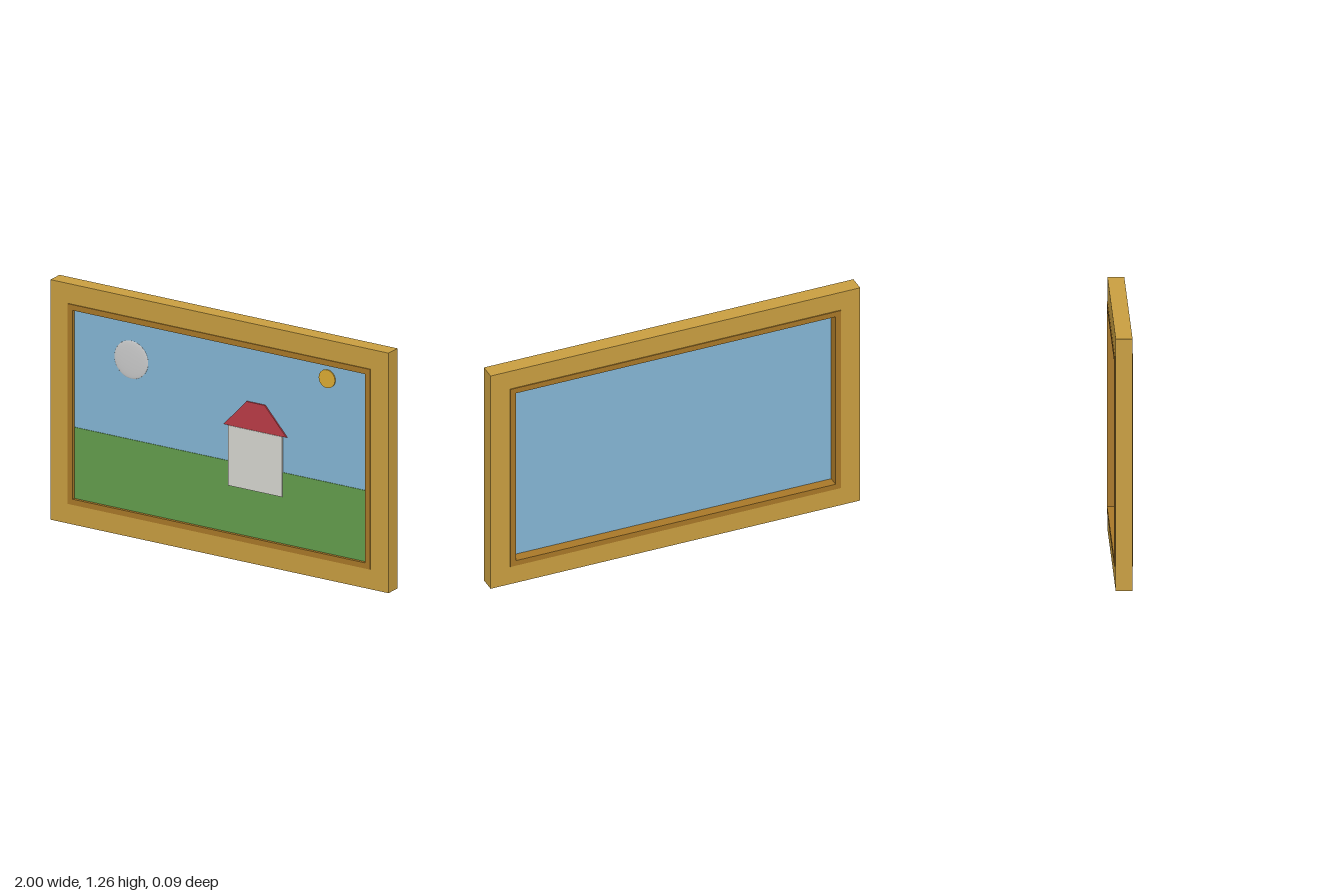
import * as THREE from 'three';

const MID_Y = 0.6325; // height of the frame's centre

function addMesh(group, name, geometry, color) {
  const mesh = new THREE.Mesh(geometry, new THREE.MeshStandardMaterial({ color }));
  mesh.name = name;
  group.add(mesh);
  return mesh;
}

// Rectangle centred on the origin
function rectangle(Type, w, h) {
  return new Type([[-w, -h], [w, -h], [w, h], [-w, h]].map(([x, y]) => new THREE.Vector2(x / 2, y / 2)));
}

// Rectangular ring, extruded evenly to front and back
function ring(w, h, holeW, holeH, depth) {
  const shape = rectangle(THREE.Shape, w, h);
  shape.holes.push(rectangle(THREE.Path, holeW, holeH));
  return new THREE.ExtrudeGeometry(shape, { depth, bevelEnabled: false }).translate(0, MID_Y, -depth / 2);
}

// Box given by its limits
function slab(x0, x1, y0, y1, z0, z1) {
  return new THREE.BoxGeometry(x1 - x0, y1 - y0, z1 - z0)
    .translate((x0 + x1) / 2, (y0 + y1) / 2, (z0 + z1) / 2);
}

export function createModel() {
  const model = new THREE.Group();
  model.name = 'framedPicture';

  // Wooden frame and the darker trim inside it
  addMesh(model, 'frame', ring(2, 1.265, 1.79, 1.055, 0.084), 0xc89e40);
  addMesh(model, 'innerTrim', ring(1.79, 1.055, 1.73, 0.995, 0.094), 0xa87828);

  // Painted landscape
  addMesh(model, 'sky', slab(-0.865, 0.865, 0.135, 1.13, 0.008, 0.028), 0x84b6d5);
  addMesh(model, 'grass', slab(-0.865, 0.865, 0.135, 0.51, 0.026, 0.031), 0x639d4c);

  // House with a hipped roof
  const house = new THREE.Group();
  house.name = 'house';
  model.add(house);
  addMesh(house, 'wall', slab(0.05, 0.367, 0.383, 0.7, 0.026, 0.039), 0xd6d6d0);
  const roof = new THREE.Shape(
    [[0.02, 0.7], [0.393, 0.7], [0.263, 0.845], [0.155, 0.845]].map(([x, y]) => new THREE.Vector2(x, y)));
  addMesh(house, 'roof',
    new THREE.ExtrudeGeometry(roof, { depth: 0.01, bevelEnabled: false }).translate(0, 0, 0.026), 0xba3c46);

  // Flattened round cloud and flat sun disc
  const cloud = addMesh(model, 'cloud', new THREE.SphereGeometry(0.1, 32, 20), 0xdedede);
  cloud.scale.z = 0.06;
  cloud.position.set(-0.53, 0.93, 0.028);
  const sun = addMesh(model, 'sun', new THREE.CylinderGeometry(0.048, 0.048, 0.008, 24), 0xdbab33);
  sun.rotation.x = Math.PI / 2;
  sun.position.set(0.63, 1.055, 0.03);

  return model;
}
